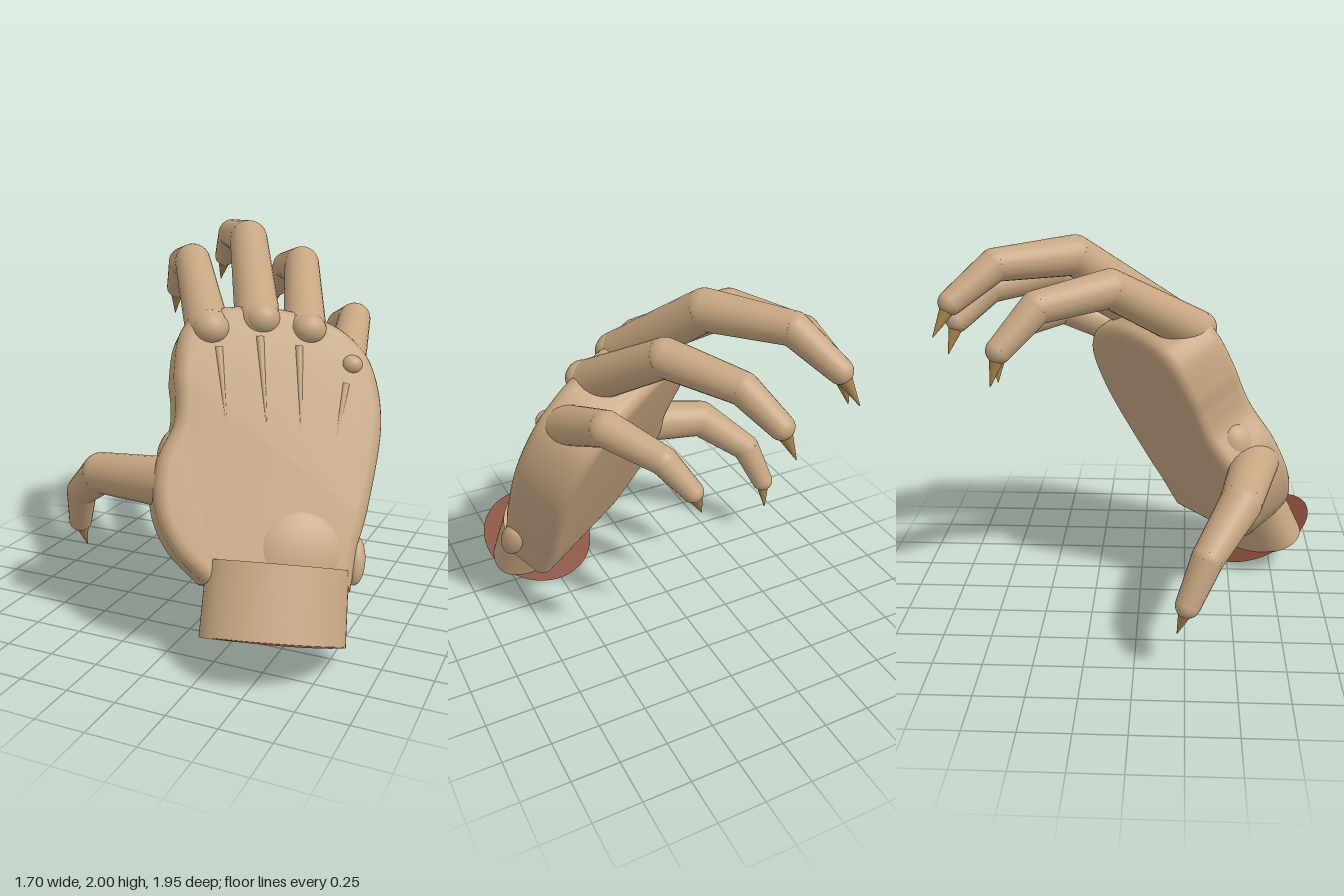
import * as THREE from 'three';
import { toCreasedNormals } from 'three/addons/utils/BufferGeometryUtils.js';

const V3 = (p) => new THREE.Vector3(...p);
const skin = new THREE.MeshStandardMaterial({ color: 0xc6a682 });
const horn = new THREE.MeshStandardMaterial({ color: 0xa8844e });
const red = new THREE.MeshStandardMaterial({ color: 0x844a38, side: THREE.DoubleSide });

function add(parent, name, geometry, material = skin) {
  const mesh = new THREE.Mesh(geometry, material);
  mesh.name = name;
  parent.add(mesh);
  return mesh;
}

// Tapered rod between two points
function rod(parent, name, a, b, ra, rb, material = skin) {
  const p = V3(a), q = V3(b), d = q.clone().sub(p);
  const mesh = add(parent, name, new THREE.CylinderGeometry(rb, ra, d.length(), 24), material);
  mesh.position.copy(p).add(q).multiplyScalar(0.5);
  mesh.quaternion.setFromUnitVectors(new THREE.Vector3(0, 1, 0), d.normalize());
}

function ball(parent, name, p, r, scale = [1, 1, 1]) {
  const mesh = add(parent, name, new THREE.SphereGeometry(r, 24, 16));
  mesh.position.set(...p);
  mesh.scale.set(...scale);
  return mesh;
}

// Finger: three tapered bones, round joints and a claw
function finger(parent, name, points, radii, claw) {
  const g = new THREE.Group();
  g.name = name;
  points.forEach((p, i) => {
    ball(g, 'fingerJoint', p, radii[i]);
    if (i < 3) rod(g, 'fingerBone', p, points[i + 1], radii[i], radii[i + 1]);
  });
  rod(g, 'claw', points[3], claw, 0.045, 0.002, horn);
  parent.add(g);
}

export function createModel() {
  const model = new THREE.Group();
  model.name = 'clawedHand';

  // Tilted frame of the palm: x across, y towards the fingers, z out of the back of the hand
  const n = V3([0.52, 0.4, 0.755]).normalize();
  const across = V3([-0.1, 0.9, -0.42]).cross(n).normalize();
  const along = n.clone().cross(across);
  const hand = new THREE.Group();
  hand.name = 'palmAndWrist';
  hand.quaternion.setFromRotationMatrix(new THREE.Matrix4().makeBasis(across, along, n));
  model.add(hand);

  // Palm slab with rounded edges
  const outline = [
    [0.455, 0.25], [0.5, 0.446], [0.545, 0.839], [0.49, 1.12], [0.37, 1.27], [0.19, 1.35],
    [-0.107, 1.375], [-0.38, 1.315], [-0.485, 1.2], [-0.5, 1.0], [-0.48, 0.87], [-0.48, 0.74],
    [-0.545, 0.55], [-0.53, 0.33], [-0.43, 0.147], [-0.265, 0.005],
  ].map(([x, y]) => new THREE.Vector2(x, y));
  const shape = new THREE.Shape();
  shape.moveTo(0.43, 0.025);
  shape.lineTo(0.455, 0.25);
  shape.splineThru(outline.slice(1));
  shape.closePath();
  const palm = new THREE.ExtrudeGeometry(shape, {
    depth: 0.22, bevelEnabled: true, bevelThickness: 0.06, bevelSize: 0.06,
    bevelOffset: -0.06, bevelSegments: 5, curveSegments: 64,
  });
  palm.translate(0, 0, 0.635);
  palm.rotateX(-0.025);
  add(hand, 'palm', toCreasedNormals(palm, 0.6));

  // Wrist stump, its cut rim and the wrist bones
  const cuff = add(hand, 'wrist', new THREE.CylinderGeometry(0.343, 0.35, 0.36, 48));
  cuff.position.set(0.075, -0.032, 0.85);
  cuff.scale.z = 0.55;
  const rim = add(hand, 'wristCutRim', new THREE.RingGeometry(0.12, 0.325, 48), red);
  rim.rotation.x = Math.PI / 2;
  rim.position.set(0.08, -0.206, 0.851);
  ball(hand, 'wristBump', [0.17, 0.22, 0.86], 0.22, [1.1, 1, 0.36]);
  ball(hand, 'outerWristBone', [0.455, 0.2, 0.825], 0.12, [0.42, 1, 0.55]);

  // Tendons on the back of the hand, from knuckle towards wrist
  const back = (x, y, d) => [x, y, (d - 0.52 * x - 0.4 * y) / 0.755];
  for (const [x0, y0, x1, y1] of [[0.09, 1.44, 0.19, 1.1], [0.25, 1.48, 0.35, 1.1],
    [0.42, 1.43, 0.5, 1.05], [0.645, 1.25, 0.65, 0.88]]) {
    rod(model, 'tendon', back(x0, y0, 0.875), back(x1, y1, 0.892), 0.022, 0.004);
  }

  // Fingers: root, two joints, tip, radii, claw point
  const fingers = [
    ['indexFinger', [[0.0, 1.52, 0.27], [-0.27, 1.79, -0.13], [-0.49, 1.75, -0.45], [-0.61, 1.58, -0.61]],
      [0.11, 0.094, 0.079, 0.06], [-0.645, 1.42, -0.65]],
    ['middleFinger', [[0.2, 1.55, 0.11], [-0.03, 1.9, -0.32], [-0.28, 1.9, -0.67], [-0.41, 1.75, -0.86]],
      [0.114, 0.1, 0.079, 0.06], [-0.475, 1.6, -0.94]],
    ['ringFinger', [[0.41, 1.49, 0.0], [0.23, 1.77, -0.44], [0.02, 1.72, -0.76], [-0.09, 1.58, -0.91]],
      [0.108, 0.092, 0.076, 0.06], [-0.15, 1.42, -0.955]],
    ['littleFinger', [[0.6, 1.34, -0.09], [0.53, 1.49, -0.45], [0.37, 1.42, -0.7], [0.27, 1.28, -0.79]],
      [0.1, 0.085, 0.066, 0.05], [0.22, 1.15, -0.785]],
    ['thumb', [[-0.03, 0.82, 0.61], [-0.48, 0.78, 0.51], [-0.71, 0.6, 0.35], [-0.785, 0.39, 0.26]],
      [0.125, 0.105, 0.08, 0.062], [-0.78, 0.23, 0.21]],
  ];
  for (const f of fingers) finger(model, ...f);

  // Knuckles
  for (const [x, y, z, r] of [[0.04, 1.53, 0.315, 0.08], [0.24, 1.565, 0.15, 0.08],
    [0.45, 1.51, 0.045, 0.075], [0.66, 1.34, 0.0, 0.046]]) {
    ball(model, 'knuckle', [x, y, z], r, [1.12, 1, 0.85]).quaternion.copy(hand.quaternion);
  }

  // Fleshy web above the thumb
  ball(hand, 'thumbWeb', [-0.445, 0.62, 0.72], 0.09, [1, 1.6, 1.3]);

  return model;
}
